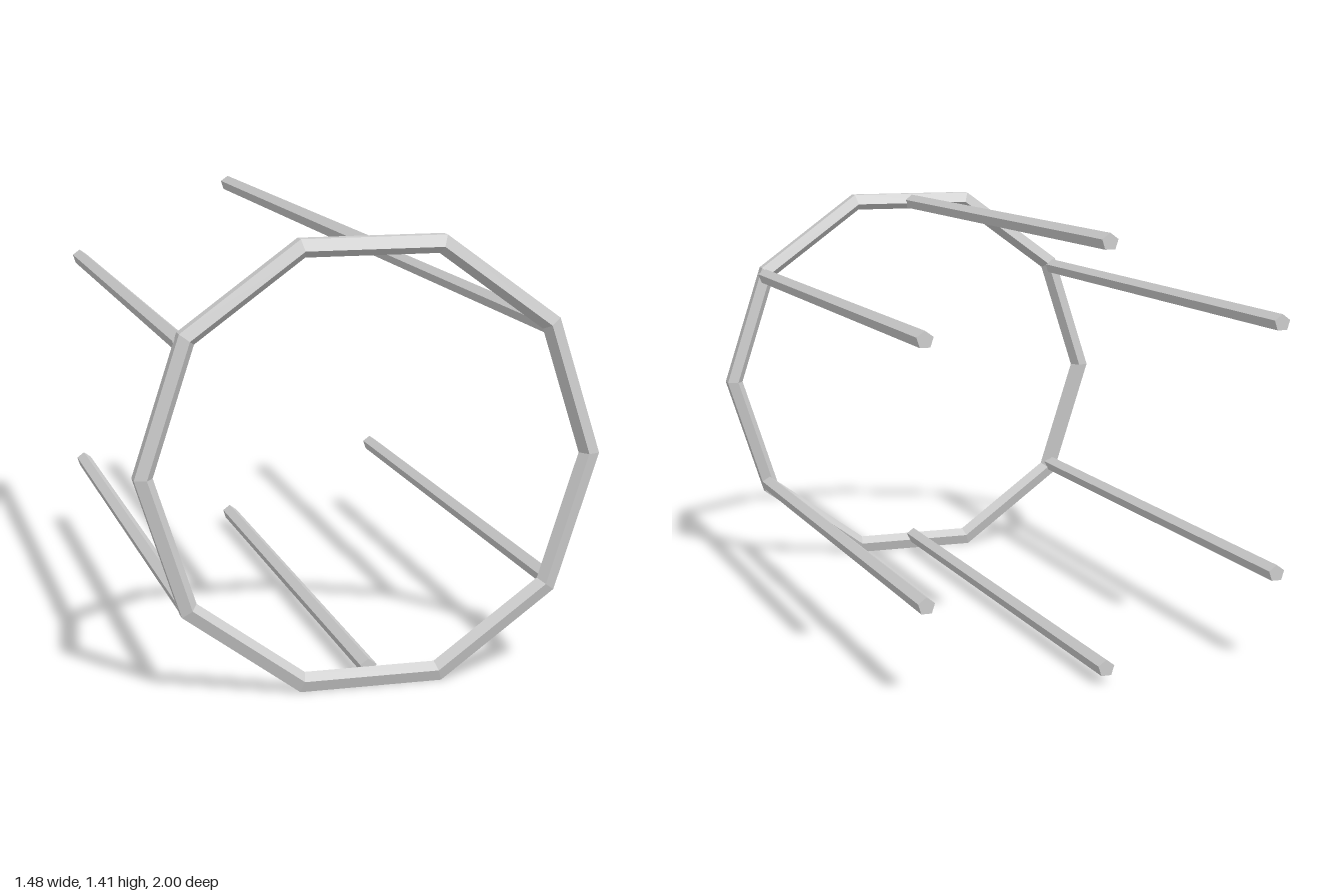
import * as THREE from 'three';

const material = new THREE.MeshStandardMaterial({ color: 0xcccccc, flatShading: true });

export function createModel() {
  const model = new THREE.Group();
  model.name = 'hoopWithRods';

  // Ten-sided hoop with a pentagonal section, one edge pointing inward
  const hoopRadius = 0.7135, barRadius = 0.0337, centreY = 0.705;
  const section = [];
  for (let i = 0; i <= 5; i++) {
    const a = Math.PI / 5 + (i * Math.PI * 2) / 5;
    section.push(new THREE.Vector2(hoopRadius + barRadius * Math.cos(a), barRadius * Math.sin(a)));
  }
  const hoopGeometry = new THREE.LatheGeometry(section, 10, Math.PI / 2);
  hoopGeometry.rotateX(Math.PI / 2);
  const hoop = new THREE.Mesh(hoopGeometry, material);
  hoop.name = 'hoop';
  hoop.position.set(0, centreY, 0.968);
  model.add(hoop);

  // Six pentagonal rods running back from the hoop, ridge upward
  const front = 0.955, back = -1;
  const rodGeometry = new THREE.CylinderGeometry(0.028, 0.028, front - back, 5);
  rodGeometry.rotateX(-Math.PI / 2);
  const addRod = (name, x, y) => {
    const rod = new THREE.Mesh(rodGeometry, material);
    rod.name = name;
    rod.position.set(x, y, (front + back) / 2);
    model.add(rod);
  };
  addRod('topRod', 0, 1.378);
  addRod('bottomRod', 0, 0.051);
  for (const [side, s] of [['left', 1], ['right', -1]]) {
    addRod(side + 'UpperRod', s * 0.587, 1.108);
    addRod(side + 'LowerRod', s * 0.587, 0.304);
  }
  return model;
}
